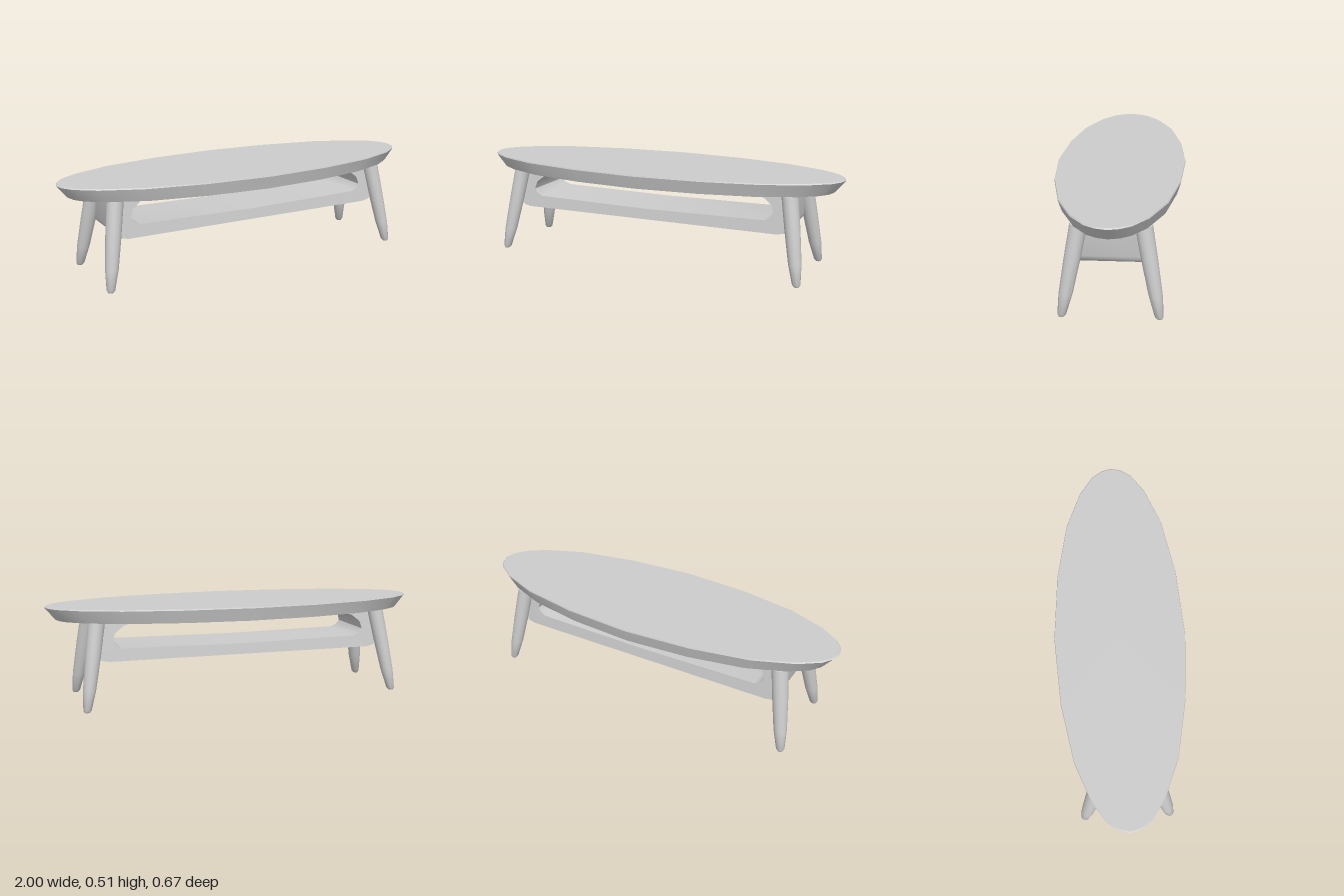
import * as THREE from 'three';
import { toCreasedNormals } from 'three/addons/utils/BufferGeometryUtils.js';

const solid = new THREE.MeshStandardMaterial({ color: 0xcccccc });
const thin = new THREE.MeshStandardMaterial({ color: 0xcccccc, side: THREE.DoubleSide });
const UNDER = 0.435; // height of the table top's underside

// Half depth of the shelf body, which narrows upwards like the legs
const halfDepth = (y) => 0.167 - 0.15 * (y - 0.236);

const vectors = (pairs) => pairs.map(([x, y]) => new THREE.Vector2(x, y));
const mirrored = (pairs) => pairs.map(([x, y]) => [-x, y]).reverse();

function add(parent, name, geometry, material) {
  const mesh = new THREE.Mesh(geometry, material);
  mesh.name = name;
  parent.add(mesh);
}

// Long oval top: a turned profile whose 24 spokes are moved onto the outline
function topGeometry() {
  const quarter = [[0, 0.337], [0.35, 0.313], [0.65, 0.256], [0.85, 0.176], [0.95, 0.105], [0.985, 0.055], [1, 0]];
  const profile = vectors([[0, UNDER], [0.945, UNDER], [1, 0.5], [0.993, 0.506], [0, 0.506]]);
  const geometry = new THREE.LatheGeometry(profile, 24);
  const pos = geometry.attributes.position;
  for (let i = 0; i < pos.count; i++) {
    const x = pos.getX(i), z = pos.getZ(i), r = Math.hypot(x, z);
    const k = Math.round((Math.atan2(Math.abs(x), Math.abs(z)) / (Math.PI / 2)) * 6);
    pos.setX(i, Math.sign(x) * quarter[k][0] * r);
    pos.setZ(i, Math.sign(z) * quarter[k][1] * r);
  }
  return toCreasedNormals(geometry, 0.5);
}

// Tapered round leg, sheared so that it splays towards its corner
function legGeometry(sx, sz) {
  const profile = vectors([[0, 0], [0.013, 0], [0.021, 0.012], [0.033, 0.11], [0.039, 0.27], [0.042, UNDER], [0, UNDER]]);
  const geometry = new THREE.LatheGeometry(profile, 20);
  const pos = geometry.attributes.position;
  for (let i = 0; i < pos.count; i++) {
    const t = pos.getY(i) / UNDER;
    pos.setX(i, pos.getX(i) + sx * (0.83 - 0.07 * t));
    pos.setZ(i, pos.getZ(i) + sz * (0.227 - 0.079 * t));
  }
  return toCreasedNormals(geometry, 0.7);
}

// Sheet that follows a path in x and y over the full depth of the body
function sheetGeometry(path) {
  const geometry = new THREE.PlaneGeometry(1, 1, path.length - 1, 1);
  const pos = geometry.attributes.position;
  for (let i = 0; i < pos.count; i++) {
    const [x, y] = path[i % path.length];
    pos.setXYZ(i, x, y, (i < path.length ? -1 : 1) * halfDepth(y));
  }
  return toCreasedNormals(geometry, 0.7);
}

// Flat outline leaned onto the front (1) or back (-1) of the body
function faceGeometry(outline, side) {
  const geometry = new THREE.ShapeGeometry(new THREE.Shape(vectors(outline)));
  const pos = geometry.attributes.position;
  for (let i = 0; i < pos.count; i++) pos.setZ(i, side * halfDepth(pos.getY(i)));
  geometry.computeVertexNormals();
  return geometry;
}

export function createModel() {
  const model = new THREE.Group();
  model.name = 'lowTable';
  add(model, 'tableTop', topGeometry(), solid);

  for (const sx of [1, -1]) {
    for (const sz of [1, -1]) {
      add(model, (sz > 0 ? 'front' : 'back') + (sx > 0 ? 'Left' : 'Right') + 'Leg', legGeometry(sx, sz), solid);
    }
  }

  // Shelf body hung under the top, open underneath
  const body = new THREE.Group();
  body.name = 'shelfBody';
  model.add(body);
  const end = [[0.765, UNDER], [0.762, 0.276], [0.757, 0.258], [0.743, 0.244], [0.705, 0.236]];
  const halfOpening = [[0.54, UNDER], [0.625, 0.41], [0.67, 0.375], [0.682, 0.335], [0.665, 0.312], [0.635, 0.299]];
  const opening = [...halfOpening, [0, 0.291], ...mirrored(halfOpening)];

  // Front and back faces around the opening
  const outline = [...opening.toReversed(), ...end, ...mirrored(end)];
  add(body, 'frontFace', faceGeometry(outline, 1), thin);
  add(body, 'backFace', faceGeometry(outline, -1), thin);

  // Shelf surface with its curved sides, and the two end panels
  add(body, 'shelfLining', sheetGeometry(opening), thin);
  add(body, 'leftEndPanel', sheetGeometry(end), thin);
  add(body, 'rightEndPanel', sheetGeometry(mirrored(end)), thin);
  return model;
}
